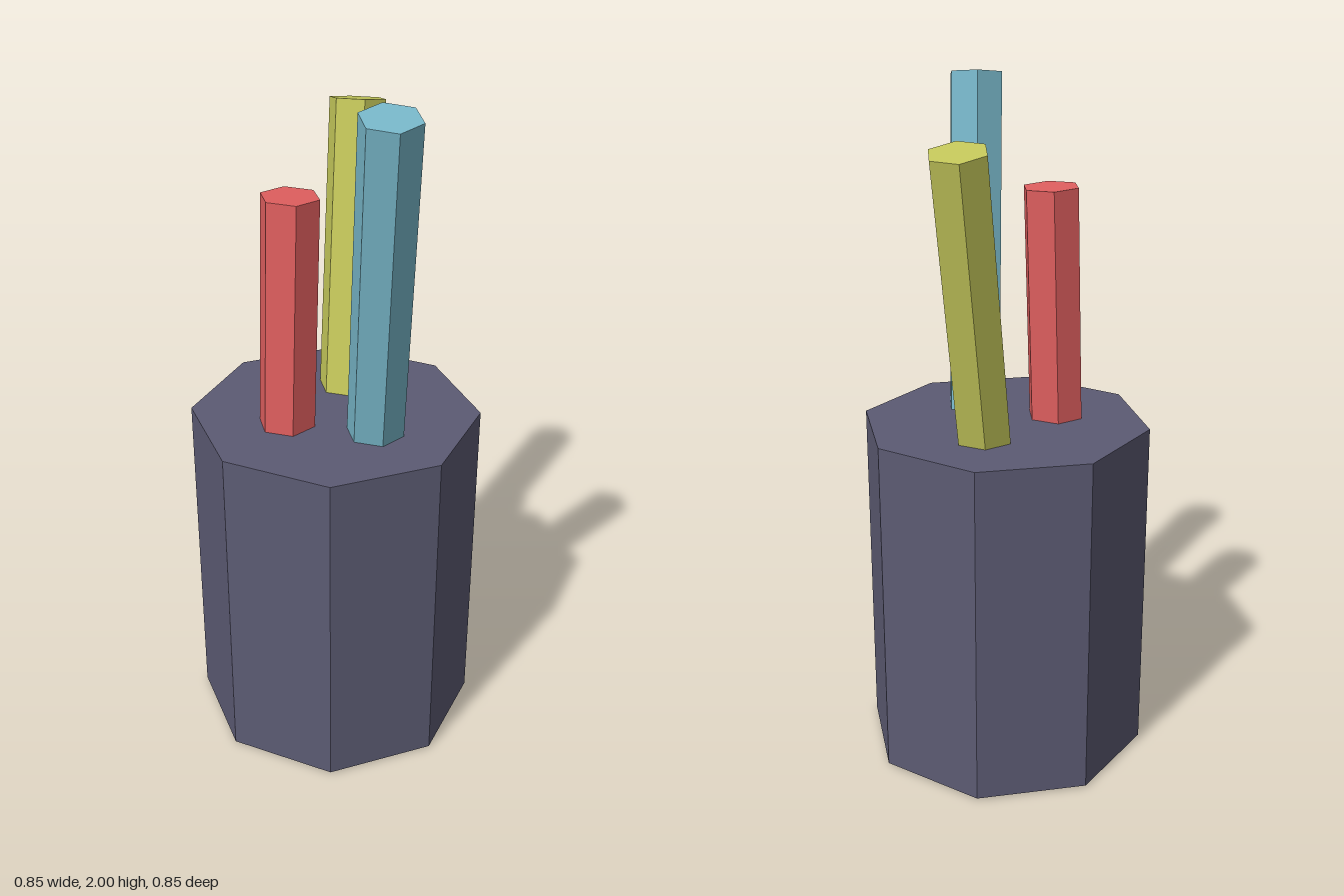
import * as THREE from 'three';

function flatMaterial(name, color, side = THREE.FrontSide) {
  const m = new THREE.MeshStandardMaterial({ color, side, flatShading: true });
  m.name = name;
  return m;
}

// Six-sided pencil running from its bottom centre to its top centre
function makePencil(name, material, bottom, top) {
  const a = new THREE.Vector3(...bottom);
  const b = new THREE.Vector3(...top);
  const axis = b.clone().sub(a);
  const geometry = new THREE.CylinderGeometry(0.084, 0.084, axis.length(), 6, 1, false, Math.PI / 6);
  const pencil = new THREE.Mesh(geometry, material);
  pencil.name = name;
  pencil.position.copy(a).add(b).multiplyScalar(0.5);
  pencil.quaternion.setFromUnitVectors(new THREE.Vector3(0, 1, 0), axis.normalize());
  return pencil;
}

export function createModel() {
  const model = new THREE.Group();
  model.name = 'pencilCup';

  // Octagonal cup: closed on top, open underneath
  const slate = flatMaterial('slate', 0x5c5b73, THREE.DoubleSide);
  const cup = new THREE.Group();
  cup.name = 'cup';
  const wall = new THREE.Mesh(new THREE.CylinderGeometry(0.424, 0.424, 1.017, 8, 1, true), slate);
  wall.name = 'cupWall';
  wall.position.y = 0.5135;
  const lid = new THREE.Mesh(new THREE.CircleGeometry(0.424, 8), slate);
  lid.name = 'cupTop';
  lid.rotation.x = -Math.PI / 2;
  lid.position.y = 1.022;
  cup.add(wall, lid);
  model.add(cup);

  // Three leaning pencils
  model.add(
    makePencil('redPencil', flatMaterial('red', 0xe05f5f), [-0.188, 0.003, -0.043], [-0.125, 1.7, -0.043]),
    makePencil('bluePencil', flatMaterial('blue', 0x78b7c9), [0.102, 0.02, 0.026], [-0.105, 1.984, 0.308]),
    makePencil('olivePencil', flatMaterial('olive', 0xc3c65a), [-0.038, 0.022, 0.037], [0.288, 1.848, -0.216])
  );
  return model;
}
